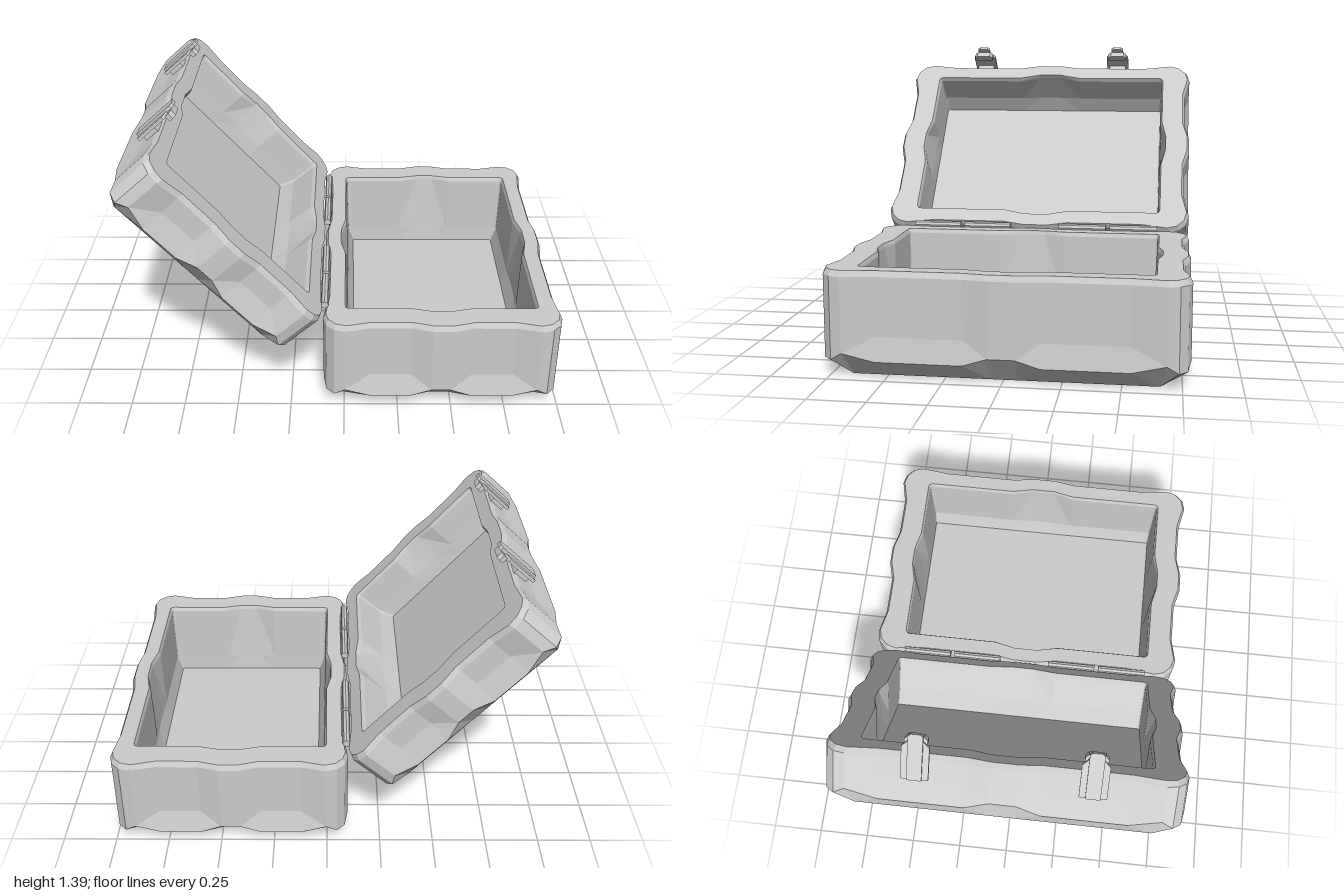
import * as THREE from 'three';

const material = new THREE.MeshStandardMaterial({ color: 0xcccccc, flatShading: true });

function addMesh(parent, name, geometry, x = 0, y = 0, z = 0) {
  const mesh = new THREE.Mesh(geometry, material);
  mesh.name = name;
  mesh.position.set(x, y, z);
  parent.add(mesh);
  return mesh;
}

// Rounded rectangle whose sides have two panels (offset by panel) and a middle rib (offset by rib).
// Corner ends and ribs are raised by lift.
function outline(y, hx, hz, r, panel = 0, rib = 0, lift = 0) {
  const points = [];
  for (let s = 0; s < 4; s++) {
    const c = Math.round(Math.cos(s * Math.PI / 2)), d = Math.round(Math.sin(s * Math.PI / 2));
    const isLong = s % 2 === 0;
    const A = isLong ? hx : hz, B = isLong ? hz : hx;
    const [b, p0, p1] = isLong ? [0.06, 0.165, 0.54] : [0.045, 0.14, 0.33];
    const depth = isLong ? panel * 0.65 : panel;
    const put = (n, t, up = 0) => points.push(new THREE.Vector3(c * n - d * t, y + up, -d * n - c * t));
    put(A, r - B, lift);
    put(A + depth, -p1);
    put(A + depth, -p0);
    put(A + rib, -b, lift);
    put(A + rib, b, lift);
    put(A + depth, p0);
    put(A + depth, p1);
    put(A, B - r, lift);
    for (const a of [Math.PI / 6, Math.PI / 3]) put(A - r + r * Math.cos(a), B - r + r * Math.sin(a));
  }
  return points;
}

// Skin successive outlines and close both ends; quads are split symmetrically about each panel.
function skin(rings) {
  const pos = [];
  const tri = (...v) => v.forEach(p => pos.push(p.x, p.y, p.z));
  const n = rings[0].length, first = rings[0], last = rings[rings.length - 1];
  const bottom = new THREE.Vector3(0, first[0].y, 0), floor = new THREE.Vector3(0, last[0].y, 0);
  for (let i = 0; i < n; i++) {
    const j = (i + 1) % n;
    tri(bottom, first[j], first[i]);
    tri(floor, last[i], last[j]);
    for (let k = 0; k < rings.length - 1; k++) {
      const a = rings[k], b = rings[k + 1];
      if ((i % 10) % 4 === 2) {
        tri(a[i], a[j], b[i]);
        tri(a[j], b[j], b[i]);
      } else {
        tri(a[i], a[j], b[j]);
        tri(a[i], b[j], b[i]);
      }
    }
  }
  const g = new THREE.BufferGeometry();
  g.setAttribute('position', new THREE.Float32BufferAttribute(pos, 3));
  g.computeVertexNormals();
  return g;
}

// Hollow half of the case, open at y = h; the long inner walls slope in to the floor.
function shell(h) {
  return skin([
    outline(0, 0.46, 0.66, 0.005),
    outline(0.08, 0.545, 0.785, 0.1, 0, 0, 0.033),
    outline(0.185, 0.545, 0.785, 0.1, -0.026),
    outline(h - 0.025, 0.545, 0.785, 0.1, -0.026),
    outline(h, 0.533, 0.773, 0.095, -0.026),
    outline(h, 0.445, 0.638, 0.02, 0, 0.022),
    outline(h - 0.02, 0.437, 0.63, 0.01, 0, 0.025),
    outline(0.145, 0.43, 0.627, 0.01, 0, 0.005),
    outline(0.065, 0.402, 0.624, 0.01),
  ]);
}

// Upright plate with clipped top corners, running from x0 outwards to x1.
function plate(width, y0, y1, clip, x0, x1) {
  const w = width / 2;
  const shape = new THREE.Shape([[-w, y0], [w, y0], [w, y1 - clip], [w - clip, y1], [clip - w, y1], [-w, y1 - clip]]
    .map(([a, b]) => new THREE.Vector2(a, b)));
  const g = new THREE.ExtrudeGeometry(shape, { depth: x0 - x1, bevelEnabled: false });
  return g.rotateY(-Math.PI / 2).translate(x0, 0, 0);
}

export function createModel() {
  const model = new THREE.Group();
  model.name = 'openCase';

  addMesh(model, 'base', shell(0.47), 0.449, 0, 0);

  // Lid, tipped back about the hinge
  const lid = new THREE.Group();
  lid.name = 'lid';
  lid.position.set(-0.687, 0.676, 0);
  lid.rotation.z = -THREE.MathUtils.degToRad(48.2);
  addMesh(lid, 'lidShell', shell(0.31));
  model.add(lid);

  for (const side of [-1, 1]) {
    // Latch on the free edge of the lid
    const latch = new THREE.Group();
    latch.name = side > 0 ? 'leftLatch' : 'rightLatch';
    latch.position.z = side * 0.38;
    addMesh(latch, 'latchMount', new THREE.BoxGeometry(0.045, 0.07, 0.09), -0.54, 0.26, 0);
    addMesh(latch, 'latchPlate', plate(0.12, 0.205, 0.385, 0.025, -0.55, -0.565));
    addMesh(latch, 'latchRidge', plate(0.065, 0.205, 0.425, 0.012, -0.558, -0.575));
    addMesh(latch, 'latchHook', plate(0.1, 0.37, 0.405, 0.015, -0.525, -0.555));
    lid.add(latch);

    // Hinge knuckles
    for (const z of [0.245, 0.505]) {
      const knuckle = addMesh(model, 'hingeKnuckle', new THREE.CylinderGeometry(0.018, 0.018, 0.24, 8), -0.09, 0.477, side * z);
      knuckle.rotation.x = Math.PI / 2;
    }
  }
  return model;
}
